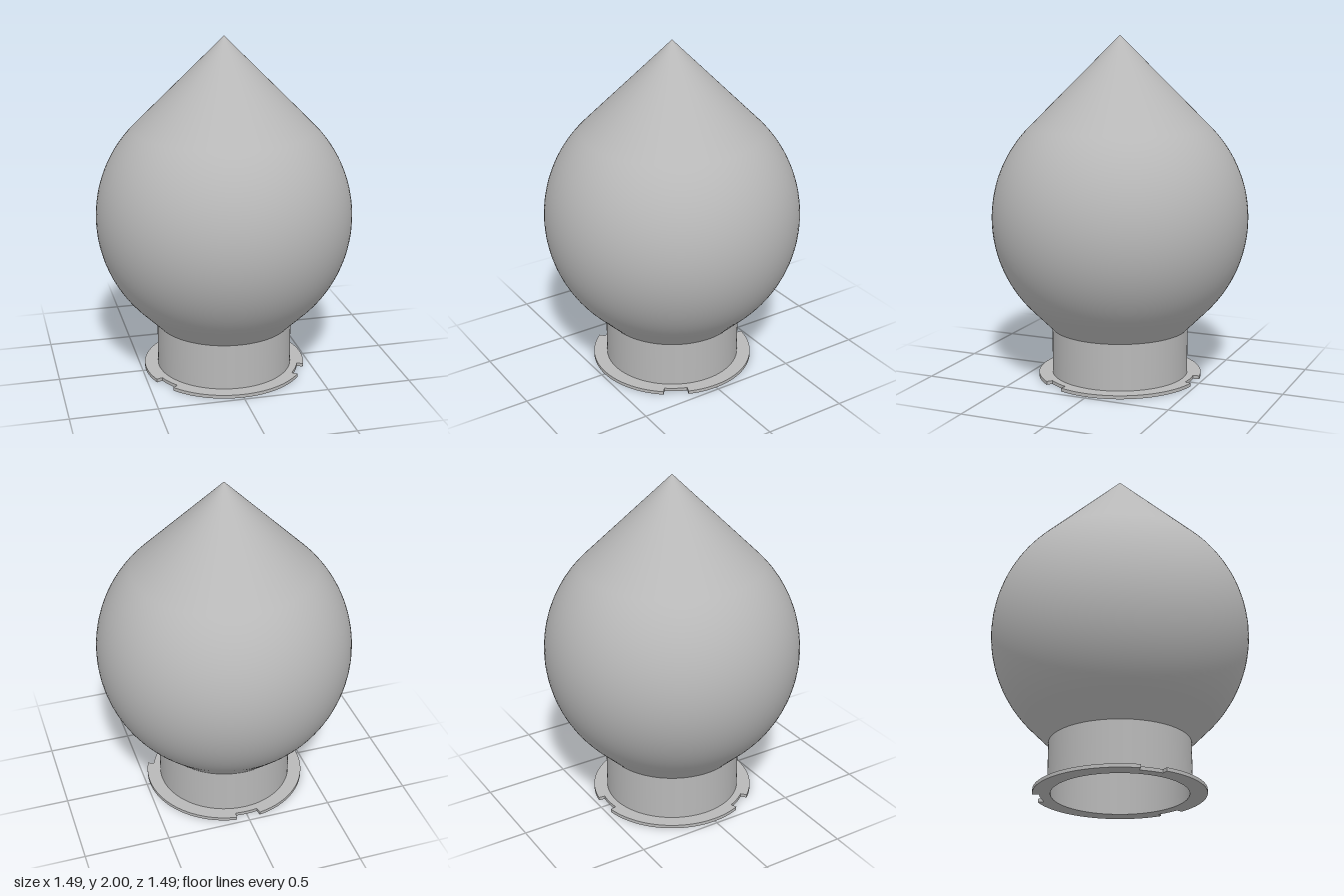
import * as THREE from 'three';
import { toCreasedNormals } from 'three/addons/utils/BufferGeometryUtils.js';

const SEGMENTS = 96;
const CENTRE_Y = 0.946;  // centre of the round body
const RADIUS = 0.745;
const WALL = 0.02;
const NECK_R = 0.4, NECK_INNER_R = 0.382, NECK_TOP = 0.29;
const FLANGE_R = 0.48, NOTCH_R = 0.443, FLANGE_H = 0.02;

// Ball with 45 degree tangent cones: up to a point, and down to the neck
function bulbProfile(radius, neckRadius) {
  const reach = radius * Math.SQRT2;
  const points = [new THREE.Vector2(neckRadius, CENTRE_Y - reach + neckRadius)];
  for (let i = 0; i <= 40; i++) {
    const a = -Math.PI / 4 + (i / 40) * Math.PI / 2;
    points.push(new THREE.Vector2(radius * Math.cos(a), CENTRE_Y + radius * Math.sin(a)));
  }
  points.push(new THREE.Vector2(0, CENTRE_Y + reach));
  return points;
}

// Ring with three bayonet notches cut into its rim
function flangeGeometry() {
  const shape = new THREE.Shape();
  const half = THREE.MathUtils.degToRad(8.7);
  const third = Math.PI * 2 / 3;
  for (let i = 0; i < 3; i++) {
    const a = Math.PI / 6 + i * third;
    shape.absarc(0, 0, NOTCH_R, a - half, a + half, false);
    shape.absarc(0, 0, FLANGE_R, a + half, a + third - half, false);
  }
  shape.closePath();
  const hole = new THREE.Path();
  hole.absarc(0, 0, NECK_INNER_R, 0, Math.PI * 2, true);
  shape.holes.push(hole);
  const geometry = new THREE.ExtrudeGeometry(shape, { depth: FLANGE_H, bevelEnabled: false, curveSegments: 40 });
  geometry.rotateX(Math.PI / 2).translate(0, FLANGE_H, 0);
  return toCreasedNormals(geometry, Math.PI / 6);
}

export function createModel() {
  const model = new THREE.Group();
  model.name = 'pointedGlobe';
  const grey = new THREE.MeshStandardMaterial({ color: 0xb8b8b8 });
  grey.name = 'grey';

  const add = (name, geometry) => {
    const mesh = new THREE.Mesh(geometry, grey);
    mesh.name = name;
    model.add(mesh);
  };
  const lathe = (points) => new THREE.LatheGeometry(points, SEGMENTS);
  const line = (r, y0, y1) => [new THREE.Vector2(r, y0), new THREE.Vector2(r, y1)];

  // Hollow body: outer skin, and inner skin facing the cavity
  const inner = bulbProfile(RADIUS - WALL, NECK_INNER_R);
  add('bulbOuter', lathe(bulbProfile(RADIUS, NECK_R - 0.0005)));
  add('bulbInner', lathe(inner.slice().reverse()));

  // Open neck
  add('neckOuter', lathe(line(NECK_R, FLANGE_H, NECK_TOP + 0.003)));
  add('neckInner', lathe(line(NECK_INNER_R, inner[0].y, FLANGE_H)));

  // Notched mounting flange
  add('flange', flangeGeometry());
  return model;
}
